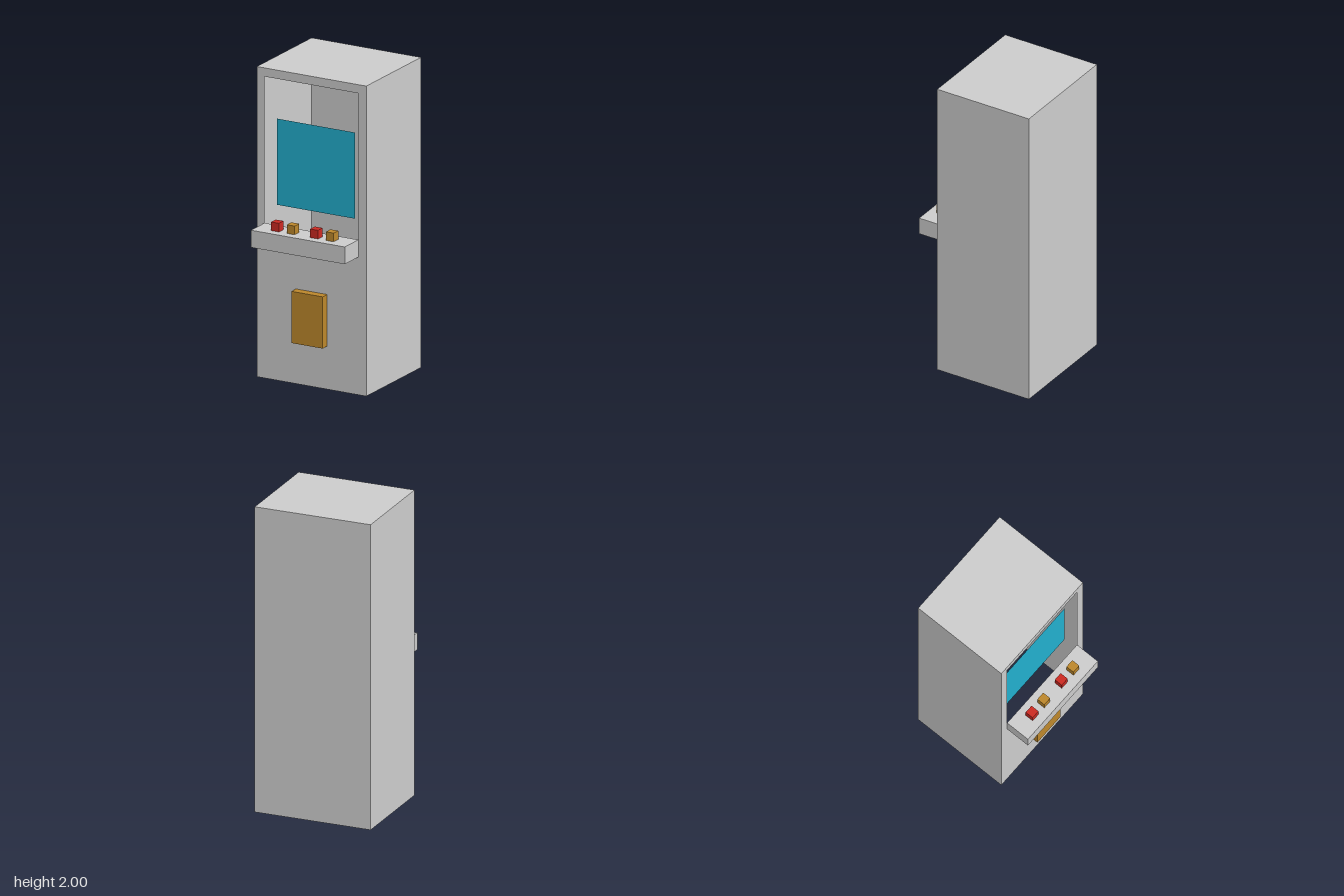
import * as THREE from 'three';

const U = 1 / 18; // modelling unit: the cabinet is 36 units tall
const FACES = ['+x', '-x', '+y', '-y', '+z', '-z'];

function material(name, color) {
  const m = new THREE.MeshStandardMaterial({ color, side: THREE.DoubleSide });
  m.name = name;
  return m;
}

function addMesh(group, name, geometry, mat) {
  const mesh = new THREE.Mesh(geometry, mat);
  mesh.name = name;
  group.add(mesh);
  return mesh;
}

// Thin-walled box between two corners, in units, leaving out the open faces
function shell([x0, y0, z0], [x1, y1, z1], open) {
  const g = new THREE.BoxGeometry(x1 - x0, y1 - y0, z1 - z0);
  const index = Array.from(g.index.array);
  g.setIndex(index.filter((_, i) => !open.includes(FACES[Math.floor(i / 6)])));
  g.clearGroups();
  g.translate((x0 + x1) / 2, (y0 + y1) / 2, (z0 + z1) / 2);
  return g.scale(U, U, U);
}

function rectangle(path, x0, y0, x1, y1) {
  path.moveTo(x0, y0).lineTo(x1, y0).lineTo(x1, y1).lineTo(x0, y1).closePath();
  return path;
}

// Flat sheet in the xy plane with rectangular openings, in units
function sheet(outline, holes) {
  const s = rectangle(new THREE.Shape(), ...outline);
  for (const h of holes) s.holes.push(rectangle(new THREE.Path(), ...h));
  return new THREE.ShapeGeometry(s);
}

export function createModel() {
  const model = new THREE.Group();
  model.name = 'arcadeCabinet';
  const grey = material('cabinetGrey', 0xcccccc);
  const blue = material('screenBlue', 0x22aecd);
  const red = material('buttonRed', 0xcc2a22);
  const gold = material('gold', 0xbc872b);

  // Hollow cabinet, open underneath
  addMesh(model, 'cabinetBody', shell([-7, 0, -7.5], [7, 36, 4.5], ['-y', '+z']), grey);

  // Front wall, open at the screen bay, control shelf and coin door
  const front = sheet([-7, 0, 7, 36], [[-6, 16, 6, 35], [-2, 5, 2, 11]]);
  addMesh(model, 'frontWall', front.translate(0, 0, 4.5).scale(U, U, U), grey);

  // Screen hanging just inside the bay
  const screen = sheet([-5, 20, 5, 30], []);
  addMesh(model, 'screen', screen.translate(0, 0, 3.5).scale(U, U, U), blue);

  // Control shelf, hollow towards the cabinet
  addMesh(model, 'controlShelf', shell([-6, 16, 4.5], [6, 18, 7.5], ['+y', '-z']), grey);
  const buttonX = [-4, -2, 1, 3];
  const top = sheet([-6, -7.5, 6, -4.5], buttonX.map((x) => [x, -6.5, x + 1, -5.5]));
  addMesh(model, 'controlShelfTop', top.rotateX(-Math.PI / 2).translate(0, 18, 0).scale(U, U, U), grey);

  // Buttons alternate red and gold
  buttonX.forEach((x, i) => {
    addMesh(model, `button${i + 1}`, shell([x, 18, 5.5], [x + 1, 19, 6.5], ['-y']), i % 2 ? gold : red);
  });

  // Coin door, hollow towards the cabinet
  addMesh(model, 'coinDoor', shell([-2, 5, 4.5], [2, 11, 5.5], ['-z']), gold);

  return model;
}
